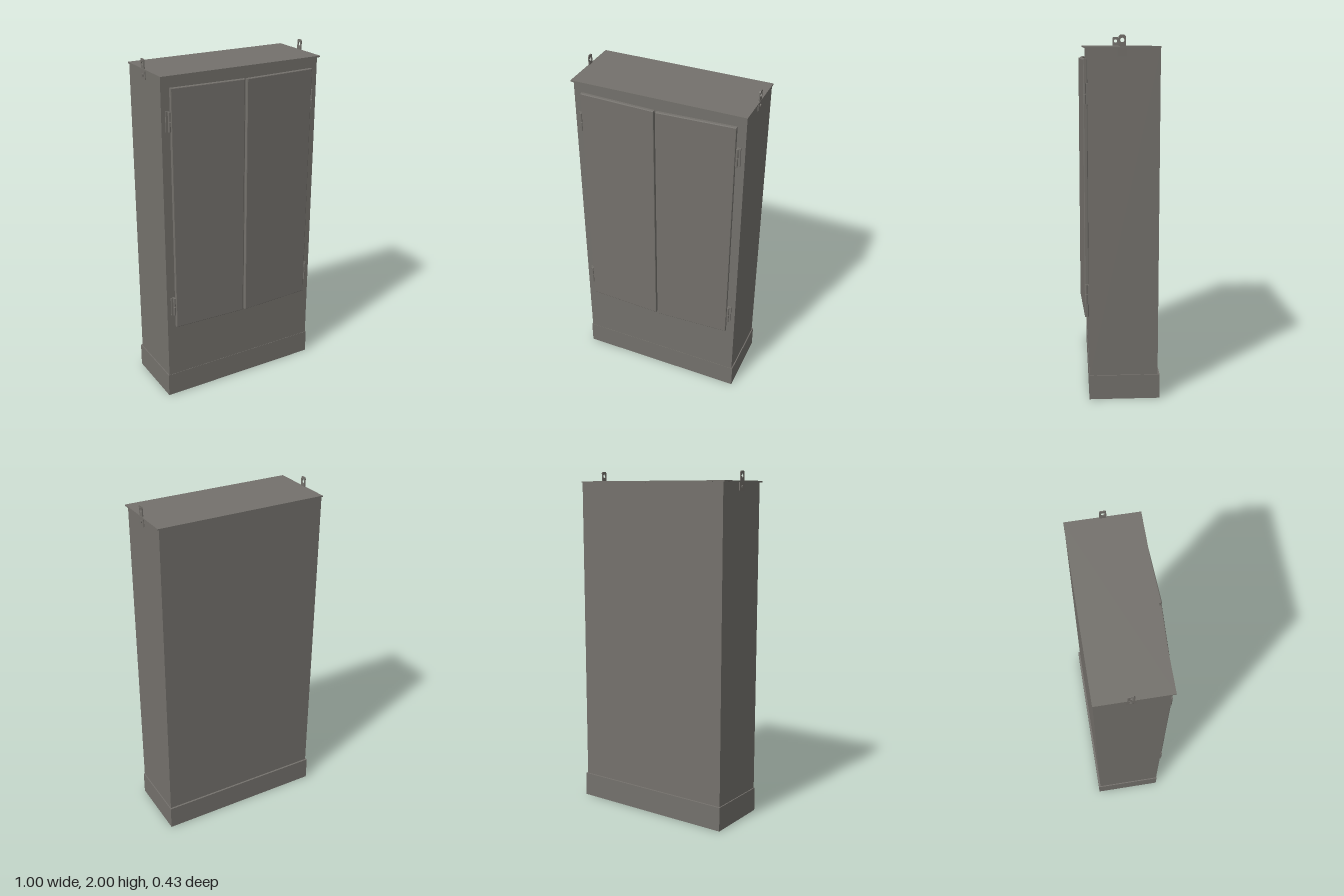
import * as THREE from 'three';

export function createModel() {
  const root = new THREE.Group();
  root.name = 'cabinet';
  const paint = new THREE.MeshStandardMaterial({ color: 0x74716c });
  paint.name = 'warm grey paint';

  const add = (name, geometry, x, y, z, parent = root) => {
    const mesh = new THREE.Mesh(geometry, paint);
    mesh.name = name;
    mesh.position.set(x, y, z);
    parent.add(mesh);
    return mesh;
  };
  // Box given by its limits on each axis
  const box = (name, [x0, x1], [y0, y1], [z0, z1], parent) =>
    add(name, new THREE.BoxGeometry(x1 - x0, y1 - y0, z1 - z0),
      (x0 + x1) / 2, (y0 + y1) / 2, (z0 + z1) / 2, parent);

  // Carcass, plinth and thin roof sheet overhanging the front
  box('body', [-0.49, 0.49], [0.13, 1.936], [-0.206, 0.174]);
  box('plinth', [-0.496, 0.496], [0, 0.14], [-0.217, 0.176]);
  box('roofSheet', [-0.497, 0.497], [1.934, 1.942], [-0.208, 0.194]);

  // One door panel with softened edges, running from the hinge (x = 0) along +x
  const doorW = 0.437, doorH = 1.41, bevel = 0.004;
  const panel = new THREE.Shape();
  panel.moveTo(bevel, bevel);
  panel.lineTo(doorW - bevel, bevel);
  panel.lineTo(doorW - bevel, doorH - bevel);
  panel.lineTo(bevel, doorH - bevel);
  panel.closePath();
  const doorGeo = new THREE.ExtrudeGeometry(panel, {
    depth: 0.014, bevelEnabled: true, bevelThickness: bevel, bevelSize: bevel, bevelSegments: 2,
  });
  doorGeo.translate(-doorW / 2, 0, bevel);

  // Hanging lug with a hole, drawn in (z, y) and extruded sideways
  const lug = new THREE.Shape();
  lug.moveTo(-0.025, 0);
  lug.lineTo(0.025, 0);
  lug.lineTo(0.025, 0.045);
  lug.lineTo(0.018, 0.055);
  lug.lineTo(0.018, 0.104);
  lug.lineTo(0.012, 0.11);
  lug.lineTo(-0.012, 0.11);
  lug.lineTo(-0.018, 0.104);
  lug.lineTo(-0.018, 0.055);
  lug.lineTo(-0.025, 0.045);
  lug.closePath();
  const hole = new THREE.Path();
  hole.absarc(0, 0.084, 0.011, 0, Math.PI * 2, true);
  lug.holes.push(hole);
  const lugGeo = new THREE.ExtrudeGeometry(lug, { depth: 0.006, bevelEnabled: false, curveSegments: 8 });
  lugGeo.translate(0, 0, -0.003);
  lugGeo.rotateY(Math.PI / 2);

  for (const side of [-1, 1]) {
    const label = side > 0 ? 'left' : 'right';

    // Doors stand slightly ajar at the middle
    const door = new THREE.Group();
    door.name = label + 'Door';
    door.position.set(side * 0.442, 0.466, 0.175);
    door.rotation.y = side > 0 ? 0.047 : -0.039;
    add(label + 'DoorPanel', doorGeo, -side * doorW / 2, 0, 0, door);
    root.add(door);

    // Hinges: a leaf on the frame and a knuckle in two parts
    for (const y of [0.6, 1.697]) {
      const hinge = new THREE.Group();
      hinge.name = label + 'Hinge';
      hinge.position.set(side * 0.455, y, 0.174);
      root.add(hinge);
      box('hingeLeaf', [-0.012, 0.012], [-0.055, 0.055], [0, 0.008], hinge);
      for (const dy of [-0.028, 0.028])
        add('hingeKnuckle', new THREE.CylinderGeometry(0.007, 0.007, 0.052, 10), -side * 0.004, dy, 0.015, hinge);
    }

    // Lugs on the side walls, leaning out a little, with a fixing bolt
    const bracket = new THREE.Group();
    bracket.name = label + 'Lug';
    bracket.position.set(side * 0.491, side > 0 ? 1.89 : 1.885, side > 0 ? -0.005 : -0.022);
    bracket.rotation.z = -side * 0.03;
    root.add(bracket);
    add('lugPlate', lugGeo, 0, 0, 0, bracket);
    const bolt = add('lugBolt', new THREE.CylinderGeometry(0.009, 0.009, 0.008, 6), side * 0.004, 0.024, 0, bracket);
    bolt.rotation.z = Math.PI / 2;
  }
  return root;
}
